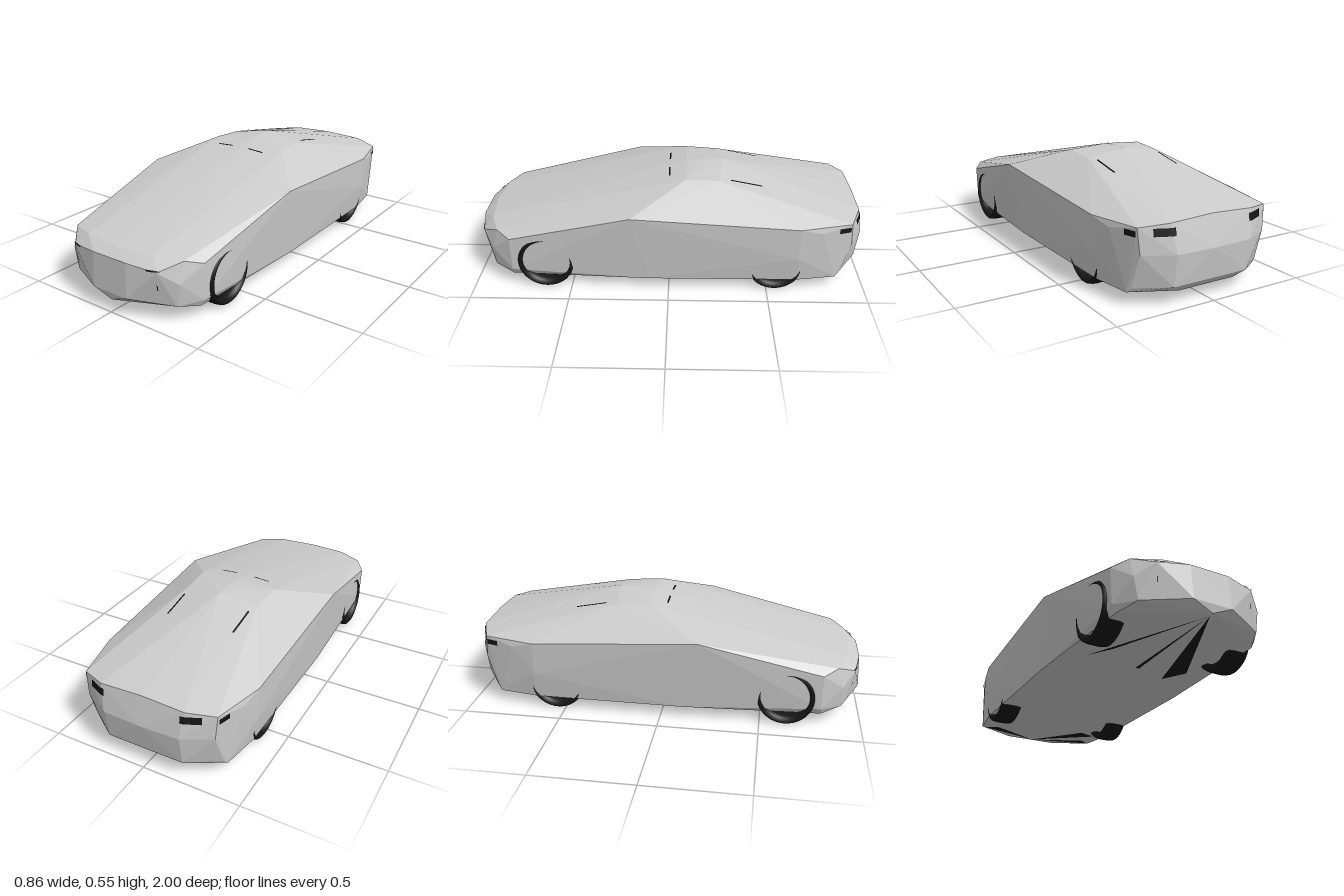
import * as THREE from 'three';
import { ConvexGeometry } from 'three/addons/geometries/ConvexGeometry.js';

const paint = new THREE.MeshStandardMaterial({ color: 0xcccccc });
paint.name = 'silver paint';
const black = new THREE.MeshStandardMaterial({ color: 0x161616, side: THREE.DoubleSide });
black.name = 'black trim';

// Corners of the faceted shell, left half [x, y, z]
const shell = [
  // roof
  [0, 0.557, -0.2], [0, 0.557, -0.28], [0, 0.55, -0.09], [0.21, 0.535, -0.08], [0.2, 0.528, -0.25],
  // sides
  [0.43, 0.43, 0.19], [0.415, 0.37, -0.65], [0.41, 0.2, -0.65], [0.39, 0.065, -0.65], [0.395, 0.065, 0.1],
  // front fender and hood edge
  [0.385, 0.28, 0.8], [0.38, 0.1, 0.8], [0.36, 0.065, 0.8],
  [0.33, 0.303, 0.87], [0.2, 0.31, 0.92], [0, 0.308, 0.94],
  // nose and chin
  [0.1, 0.275, 0.99], [0.25, 0.26, 0.96], [0.33, 0.2, 0.9],
  [0.1, 0.105, 1], [0.31, 0.09, 0.9], [0, 0.065, 0.99],
  // tail
  [0, 0.395, -0.965], [0.22, 0.385, -0.965], [0.35, 0.37, -0.91], [0.395, 0.34, -0.76],
  [0, 0.25, -1], [0.2, 0.25, -0.993], [0.34, 0.25, -0.92],
  [0.2, 0.1, -0.975], [0.35, 0.09, -0.87], [0.36, 0.067, -0.85], [0.15, 0.065, -0.945],
];

export function createModel() {
  const car = new THREE.Group();
  car.name = 'car';

  // Body shell
  const points = [];
  for (const [x, y, z] of shell) {
    points.push(new THREE.Vector3(x, y, z));
    if (x > 0) points.push(new THREE.Vector3(-x, y, z));
  }
  const body = new THREE.Mesh(new ConvexGeometry(points), paint);
  body.name = 'body';
  body.updateMatrixWorld();
  car.add(body);

  // Thin patch laid on the shell: a rectangle projected along one axis
  const ray = new THREE.Raycaster();
  function patch(name, axis, sign, u0, u1, v0, v1, side) {
    const geo = new THREE.PlaneGeometry(1, 1, 6, 6);
    const pos = geo.attributes.position;
    for (let i = 0; i < pos.count; i++) {
      const u = THREE.MathUtils.lerp(u0, u1, pos.getX(i) + 0.5);
      const v = THREE.MathUtils.lerp(v0, v1, pos.getY(i) + 0.5);
      const start = axis === 'x' ? new THREE.Vector3(2 * side, v, u)
        : axis === 'y' ? new THREE.Vector3(u * side, 2 * sign, v)
          : new THREE.Vector3(u * side, v, 2 * sign);
      const dir = new THREE.Vector3();
      dir[axis] = -Math.sign(start[axis]);
      ray.set(start, dir);
      const hit = ray.intersectObject(body)[0];
      const p = hit ? hit.point.addScaledVector(hit.face.normal, 0.004) : start.setComponent('xyz'.indexOf(axis), 0);
      pos.setXYZ(i, p.x, p.y, p.z);
    }
    geo.computeVertexNormals();
    const mesh = new THREE.Mesh(geo, black);
    mesh.name = name;
    car.add(mesh);
  }

  for (const side of [1, -1]) {
    const label = side > 0 ? 'left' : 'right';
    patch(label + 'InnerTailLight', 'z', -1, 0.2, 0.29, 0.33, 0.365, side);
    patch(label + 'OuterTailLight', 'x', 1, -0.905, -0.845, 0.328, 0.355, side);
    patch(label + 'RearWindowSlit', 'y', 1, 0.177, 0.186, -0.47, -0.31, side);
    patch(label + 'WindshieldSlit', 'y', 1, 0.05, 0.14, -0.004, 0.004, side);
    patch(label + 'BumperSlit', 'z', 1, 0.242, 0.246, 0.17, 0.197, side);
    patch(label + 'HeadlightSlit', 'z', 1, 0.2, 0.26, 0.261, 0.265, side);
  }

  // Tyres: hollow rings whose outer shoulder just shows beyond the shell
  const profile = [[0.105, -0.05], [0.125, -0.06], [0.14, -0.052], [0.145, -0.03],
    [0.145, 0.03], [0.14, 0.052], [0.127, 0.06], [0.115, 0.045], [0.105, 0.03], [0.105, -0.05]];
  const tyreGeo = new THREE.LatheGeometry(profile.map(([r, h]) => new THREE.Vector2(r, h)), 40);
  for (const side of [1, -1]) {
    for (const [end, z] of [['Front', 0.625], ['Rear', -0.54]]) {
      const tyre = new THREE.Mesh(tyreGeo, black);
      tyre.name = (side > 0 ? 'left' : 'right') + end + 'Tyre';
      tyre.rotation.z = -side * Math.PI / 2;
      tyre.position.set(side * 0.337, 0.15, z);
      car.add(tyre);
    }
  }

  // Dark slivers fanning over the floor from nose and tail [x, z]
  const slivers = [
    [[0, 0.97], [-0.28, 0.37], [-0.2, 0.5]],
    [[0, 0.97], [0.19, 0.3], [0.26, 0.42]],
    [[0, 0.97], [0.0, 0.36], [0.02, 0.36]],
    [[0, -0.93], [-0.34, -0.84], [-0.28, -0.8]],
    [[0, -0.93], [0.34, -0.84], [0.3, -0.8]],
    [[0, -0.93], [0.32, -0.69], [0.22, -0.66]],
  ];
  for (const corners of slivers) {
    const geo = new THREE.BufferGeometry().setFromPoints(
      corners.map(([x, z]) => new THREE.Vector3(x, 0.062, z)));
    geo.computeVertexNormals();
    const sliver = new THREE.Mesh(geo, black);
    sliver.name = 'floorSliver';
    car.add(sliver);
  }
  return car;
}
